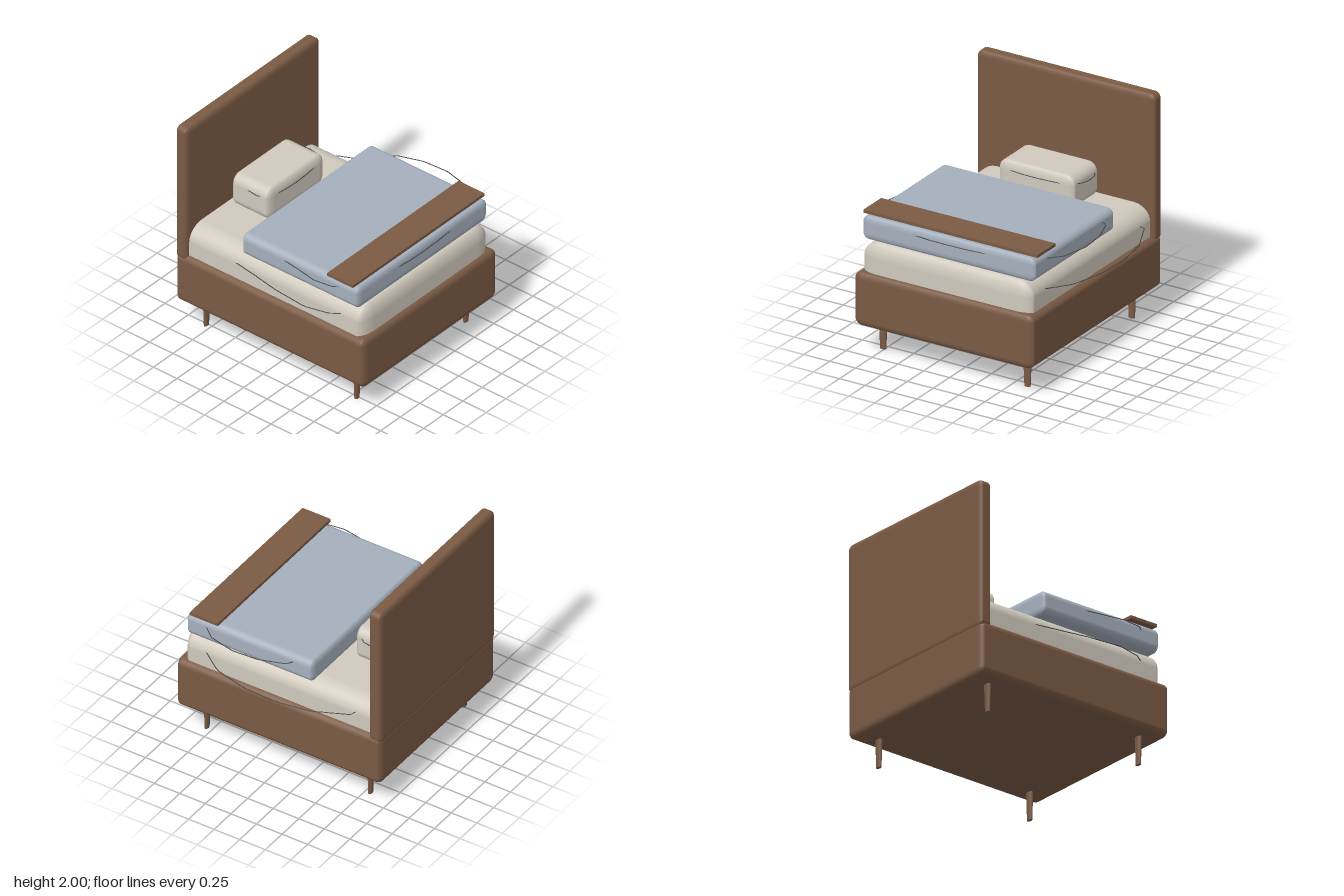
import * as THREE from 'three';
import { RoundedBoxGeometry } from 'three/addons/geometries/RoundedBoxGeometry.js';

const material = (color) => new THREE.MeshStandardMaterial({ color });

export function createModel() {
  const bed = new THREE.Group();
  bed.name = 'bed';
  const wood = material(0x7a5a44);
  const linen = material(0xd0cabd);
  const blue = material(0xa5b0bd);
  const thread = material(0x484848);

  function add(name, geometry, mat, parent = bed) {
    const mesh = new THREE.Mesh(geometry, mat);
    mesh.name = name;
    parent.add(mesh);
    return mesh;
  }

  // Box between two corners, with a separate rounding radius along each axis
  function softBox(name, min, max, [rx, ry, rz], mat) {
    const size = max.map((v, i) => v - min[i]);
    const geometry = new RoundedBoxGeometry(size[0] / rx, size[1] / ry, size[2] / rz, 5, 1);
    geometry.scale(rx, ry, rz);
    geometry.translate(...max.map((v, i) => (v + min[i]) / 2));
    return add(name, geometry, mat);
  }

  // Upholstered frame and headboard
  softBox('frame', [-0.93, 0.25, -0.995], [0.8, 0.73, 1], [0.07, 0.06, 0.04], wood);
  softBox('headboard', [-0.925, 0.67, -1], [0.795, 2, -0.88], [0.055, 0.055, 0.03], wood);

  // Bedding
  softBox('mattress', [-0.885, 0.58, -0.95], [0.755, 1, 0.96], [0.16, 0.14, 0.07], linen);
  softBox('blanket', [-0.9, 1, -0.315], [0.77, 1.21, 0.92], [0.06, 0.06, 0.03], blue);
  softBox('pillow', [-0.43, 1.01, -0.82], [0.3, 1.32, -0.42], [0.085, 0.085, 0.04], linen);

  // Flat board lying across the foot end
  add('footBoard', new THREE.BoxGeometry(1.685, 0.027, 0.275), wood)
    .position.set(-0.067, 1.228, 0.742);

  // Tapered oval legs
  for (const x of [-0.765, 0.63]) {
    for (const z of [-0.797, 0.803]) {
      const leg = add('leg', new THREE.CylinderGeometry(0.04, 0.029, 0.28, 16), wood);
      leg.scale.z = 0.55;
      leg.position.set(x, 0.14, z);
    }
  }

  // Loose seam threads, each a level path of [x, z] points
  const threads = new THREE.Group();
  threads.name = 'seamThreads';
  bed.add(threads);
  function seam(name, y, points) {
    const path = new THREE.CurvePath();
    const corners = points.map(([x, z]) => new THREE.Vector3(x, y, z));
    for (let i = 1; i < corners.length; i++) {
      path.add(new THREE.LineCurve3(corners[i - 1], corners[i]));
    }
    add(name, new THREE.TubeGeometry(path, 24, 0.004, 6), thread, threads);
  }
  seam('mattressSeamLeft', 0.875,
    [[0.75, 0.73], [0.9, 0.53], [0.98, 0.22], [0.995, -0.1], [0.945, -0.41], [0.8, -0.72], [0.74, -0.73]]);
  seam('mattressSeamRight', 0.875,
    [[-0.88, 0.73], [-0.94, 0.65], [-0.995, 0.43], [-0.965, 0.1], [-0.91, -0.2], [-0.87, -0.45]]);
  seam('blanketSeamLeft', 1.15,
    [[0.76, 0.73], [0.86, 0.61], [0.915, 0.37], [0.9, 0.13], [0.82, -0.1], [0.76, -0.13]]);
  seam('blanketSeamRight', 1.15,
    [[-0.89, 0.73], [-0.93, 0.68], [-0.955, 0.5], [-0.92, 0.3], [-0.89, 0.1]]);
  seam('blanketSeamFront', 1.15,
    [[-0.39, 0.915], [-0.24, 0.932], [-0.06, 0.935], [0.14, 0.93], [0.31, 0.915]]);
  seam('pillowSeamLeft', 1.24,
    [[0.295, -0.75], [0.33, -0.71], [0.343, -0.62], [0.328, -0.53], [0.295, -0.49]]);
  seam('pillowSeamRight', 1.24, [[-0.425, -0.65], [-0.44, -0.53], [-0.425, -0.5]]);
  seam('pillowSeamFront', 1.24,
    [[-0.32, -0.425], [-0.2, -0.41], [-0.08, -0.405], [0.06, -0.412], [0.18, -0.425]]);

  return bed;
}
